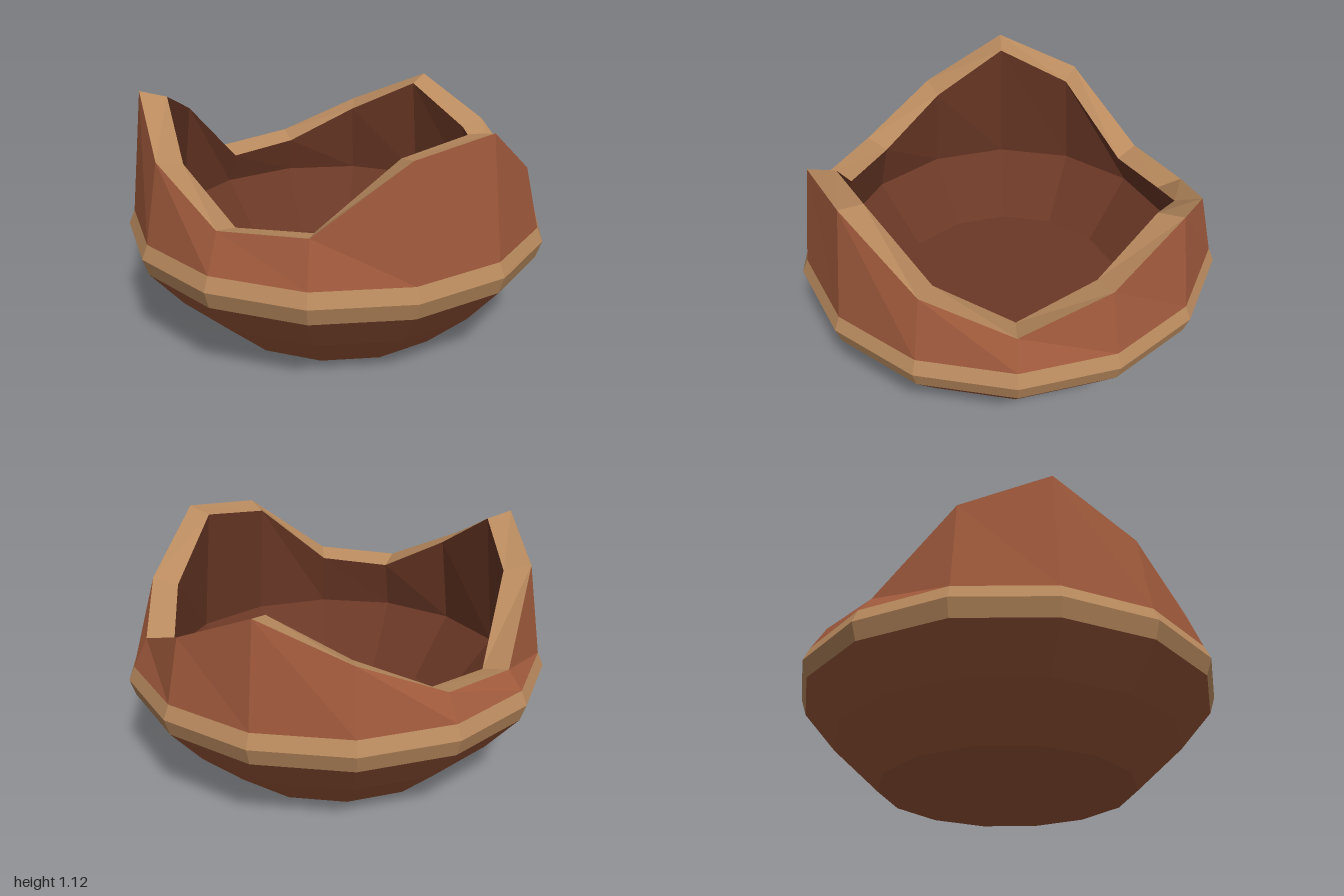
import * as THREE from 'three';

const SIDES = 14;
const STEP = (Math.PI * 2) / SIDES;

// One 14-sided ring; y may be a number or a list with one height per corner
function ring(r, y) {
  return Array.from({ length: SIDES }, (_, k) => {
    const a = (k + 0.25) * STEP;
    return [r * Math.cos(a), Array.isArray(y) ? y[k] : y, r * Math.sin(a)];
  });
}

// Faceted surface through successive rings; a zero-radius ring closes a disc
function skin(name, rings, material) {
  const pos = [];
  for (let i = 0; i + 1 < rings.length; i++) {
    const lo = rings[i], hi = rings[i + 1];
    for (let k = 0; k < SIDES; k++) {
      const n = (k + 1) % SIDES;
      pos.push(...lo[k], ...hi[k], ...hi[n], ...lo[k], ...hi[n], ...lo[n]);
    }
  }
  const geometry = new THREE.BufferGeometry();
  geometry.setAttribute('position', new THREE.Float32BufferAttribute(pos, 3));
  geometry.computeVertexNormals();
  const mesh = new THREE.Mesh(geometry, material);
  mesh.name = name;
  return mesh;
}

function paint(name, color) {
  const m = new THREE.MeshStandardMaterial({ color });
  m.name = name;
  return m;
}

export function createModel() {
  const clay = paint('clay', 0xa05a3c);
  const tan = paint('tan', 0xb98a5e);
  const inside = paint('dark inside', 0x6b3826);

  // Jagged broken edge, one height per corner
  const edge = [1.085, 1.04, 0.735, 0.71, 0.905, 1.12, 0.97,
    0.62, 0.65, 0.825, 1.0, 0.825, 0.67, 0.82];
  const rimOuter = ring(0.911, edge);
  const rimInner = ring(0.786, edge.map((y) => y - 0.03));
  const bandLow = ring(0.98, 0.39);
  const bandTop = ring(0.978, 0.535);
  const floorRing = ring(0.605, 0.13);
  const baseRing = ring(0.605, 0);

  const group = new THREE.Group();
  group.name = 'brokenBowl';
  group.add(
    skin('base', [ring(0, 0), baseRing], clay),
    skin('lowerBody', [baseRing, ring(0.825, 0.205), bandLow], clay),
    skin('band', [bandLow, ring(1.006, 0.47), bandTop], tan),
    skin('upperWall', [bandTop, rimOuter], clay),
    skin('brokenRim', [rimOuter, rimInner], tan),
    skin('innerWall', [rimInner, ring(0.85, 0.43), floorRing], inside),
    skin('innerFloor', [floorRing, ring(0, 0.13)], inside),
  );
  return group;
}
